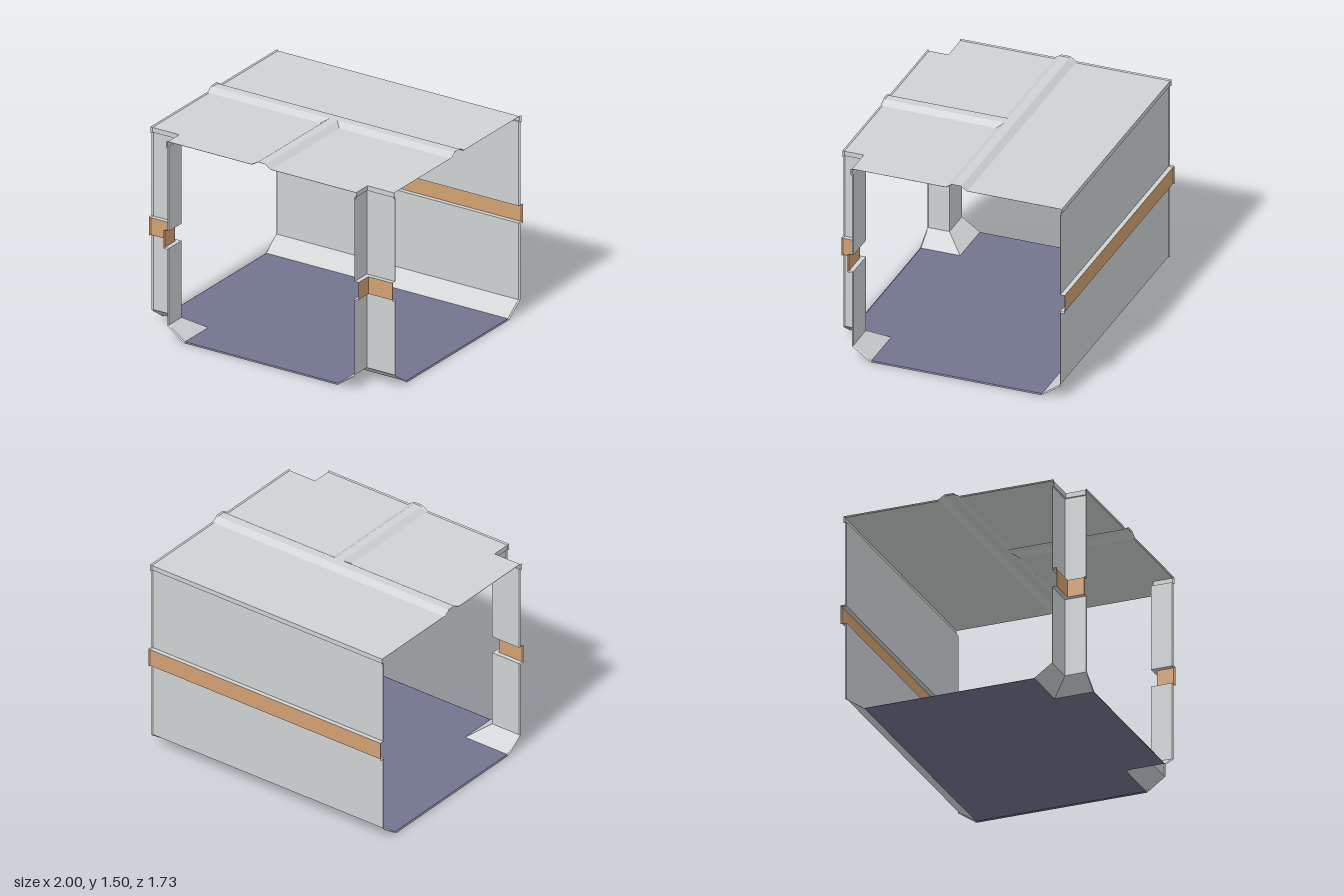
import * as THREE from 'three';

const C = -0.065;  // z of the corridor centre line
const RIM = 0.007; // how far the open ends flare outwards
const END = 0.86;  // front end of the branch

// Half cross-section of the corridor: [half width, height, flare x, flare y]
const PROFILE = [
  [0.032, 1.496, 0, 1],    // ceiling ridge
  [0.078, 1.466, 0, 1],
  [0.772, 1.466, 1, 1],    // top recess
  [0.772, 1.43, 1, -1],
  [0.76, 1.43, 1, -1],     // upper wall
  [0.76, 0.8, 1, 1],
  [0.793, 0.8, 1, 1],      // recessed band
  [0.793, 0.672, 1, -1],
  [0.76, 0.672, 1, -1],    // lower wall
  [0.76, 0.1, 1, -0.5],
  [0.628, 0.007, 0.5, -1], // chamfer down to the floor
];

// Flat-faced surface through rows of points
function patch(rows) {
  const pos = [];
  for (let i = 0; i < rows.length - 1; i++) {
    for (let j = 0; j < rows[i].length - 1; j++) {
      const a = rows[i][j], b = rows[i + 1][j], c = rows[i + 1][j + 1], d = rows[i][j + 1];
      pos.push(...a, ...b, ...c, ...a, ...c, ...d);
    }
  }
  const g = new THREE.BufferGeometry();
  g.setAttribute('position', new THREE.Float32BufferAttribute(pos, 3));
  g.computeVertexNormals();
  return g;
}

// Straight run along x behind the centre line
function backPath([u, y, du, dy]) {
  const ur = u + du * RIM, yr = y + dy * RIM;
  return [[-1, yr, C - ur], [-0.99, y, C - u], [0.99, y, C - u], [1, yr, C - ur]];
}

// Mitred run from the side opening round to the front opening
function cornerPath(side) {
  return ([u, y, du, dy]) => {
    const ur = u + du * RIM, yr = y + dy * RIM;
    return [[1, yr, C + ur], [0.99, y, C + u], [u, y, C + u], [u, y, END - 0.01], [ur, yr, END]]
      .map(([px, py, pz]) => [side * px, py, pz]);
  };
}

export function createModel() {
  const model = new THREE.Group();
  model.name = 'corridorJunction';
  const mat = (name, color) => {
    const m = new THREE.MeshStandardMaterial({ color, side: THREE.DoubleSide });
    m.name = name;
    return m;
  };
  const panel = mat('paleGreyPanel', 0xced2d3);
  const trim = mat('tanTrim', 0xd3a171);
  const deck = mat('slateFloor', 0x73748e);

  const add = (parent, name, rows, material) => {
    const mesh = new THREE.Mesh(patch(rows), material);
    mesh.name = name;
    parent.add(mesh);
  };

  // Ceiling, wall, band and chamfer swept along one path
  const sweep = (name, path) => {
    const group = new THREE.Group();
    group.name = name;
    const parts = [
      ['ceiling', 0, 2, panel], ['upperWall', 2, 6, panel], ['band', 6, 7, trim],
      ['lowerWall', 7, 9, panel], ['chamfer', 9, 10, panel],
    ];
    for (const [part, from, to, material] of parts) {
      add(group, part, PROFILE.slice(from, to + 1).map(path), material);
    }
    model.add(group);
  };
  sweep('backSide', backPath);
  sweep('leftCorner', cornerPath(1));
  sweep('rightCorner', cornerPath(-1));

  // T-shaped flat pieces that close the middle of the floor and ceiling
  const tee = (name, [u, y, du, dy], material) => {
    const ur = u + du * RIM, yr = y + dy * RIM;
    const cross = [[-1, ur, yr], [-0.99, u, y], [0.99, u, y], [1, ur, yr]];
    const stem = [[C + u, u, y], [END - 0.01, u, y], [END, ur, yr]];
    const group = new THREE.Group();
    group.name = name;
    add(group, name + 'Cross', cross.map(([x, w, h]) => [[x, h, C - w], [x, h, C + w]]), material);
    add(group, name + 'Branch', stem.map(([z, w, h]) => [[-w, h, z], [w, h, z]]), material);
    model.add(group);
  };
  tee('ceilingRidge', PROFILE[0], panel);
  tee('floor', PROFILE[PROFILE.length - 1], deck);

  return model;
}
